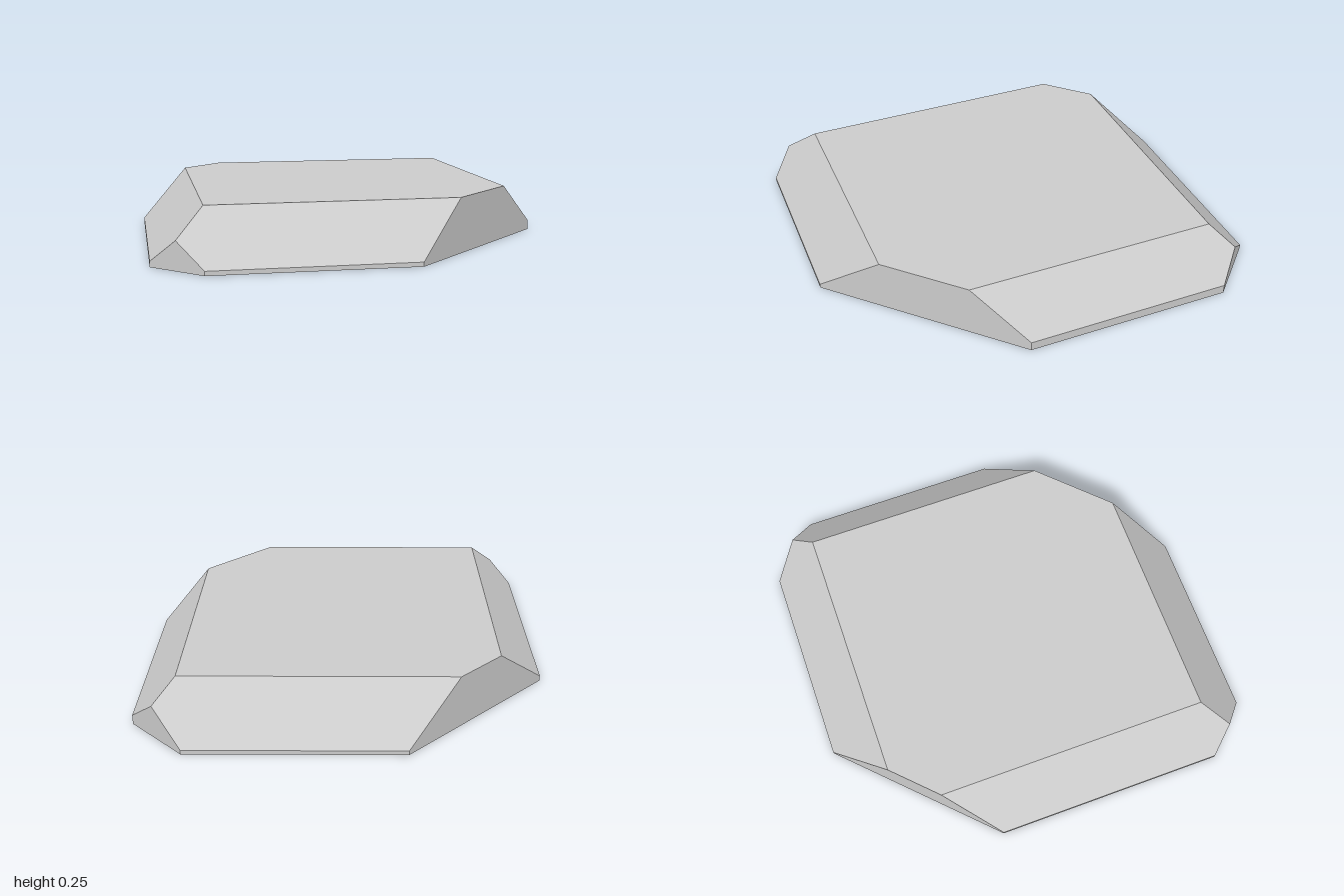
import * as THREE from 'three';
import { ConvexGeometry } from 'three/addons/geometries/ConvexGeometry.js';

const TOP = 0.255;
// Limits of the flat top; 45 degree bevels fall away outside them
const FLAT = { minX: -0.72, maxX: 0.74, minZ: -0.765, maxZ: 0.765 };

// Height of the bevelled upper surface at (x, z)
function surfaceHeight(x, z) {
  return TOP - Math.max(0, FLAT.minX - x, x - FLAT.maxX, FLAT.minZ - z, z - FLAT.maxZ);
}

export function createModel() {
  const group = new THREE.Group();
  group.name = 'bevelledSlab';

  // Footprint: rectangle with two large and two small cut corners
  const outline = [
    [-0.285, -1], [0.7, -1], [0.95, -0.75], [0.95, 0.24],
    [0.19, 1], [-0.735, 1], [-0.95, 0.785], [-0.95, -0.335],
  ];
  // Corners of the flat top
  const topCorners = [
    [-0.52, -0.765], [0.74, -0.765], [0.74, 0.45],
    [0.425, 0.765], [-0.72, 0.765], [-0.72, -0.565],
  ];
  // Where two bevels meet a small cut corner
  const ridgeEnds = [[0.8375, -0.8625], [-0.845, 0.89]];

  const points = outline.map(([x, z]) => new THREE.Vector3(x, 0, z));
  for (const [x, z] of [...outline, ...topCorners, ...ridgeEnds]) {
    points.push(new THREE.Vector3(x, surfaceHeight(x, z), z));
  }

  const slab = new THREE.Mesh(
    new ConvexGeometry(points),
    new THREE.MeshStandardMaterial({ color: 0xcccccc, flatShading: true })
  );
  slab.name = 'slab';
  group.add(slab);
  return group;
}
